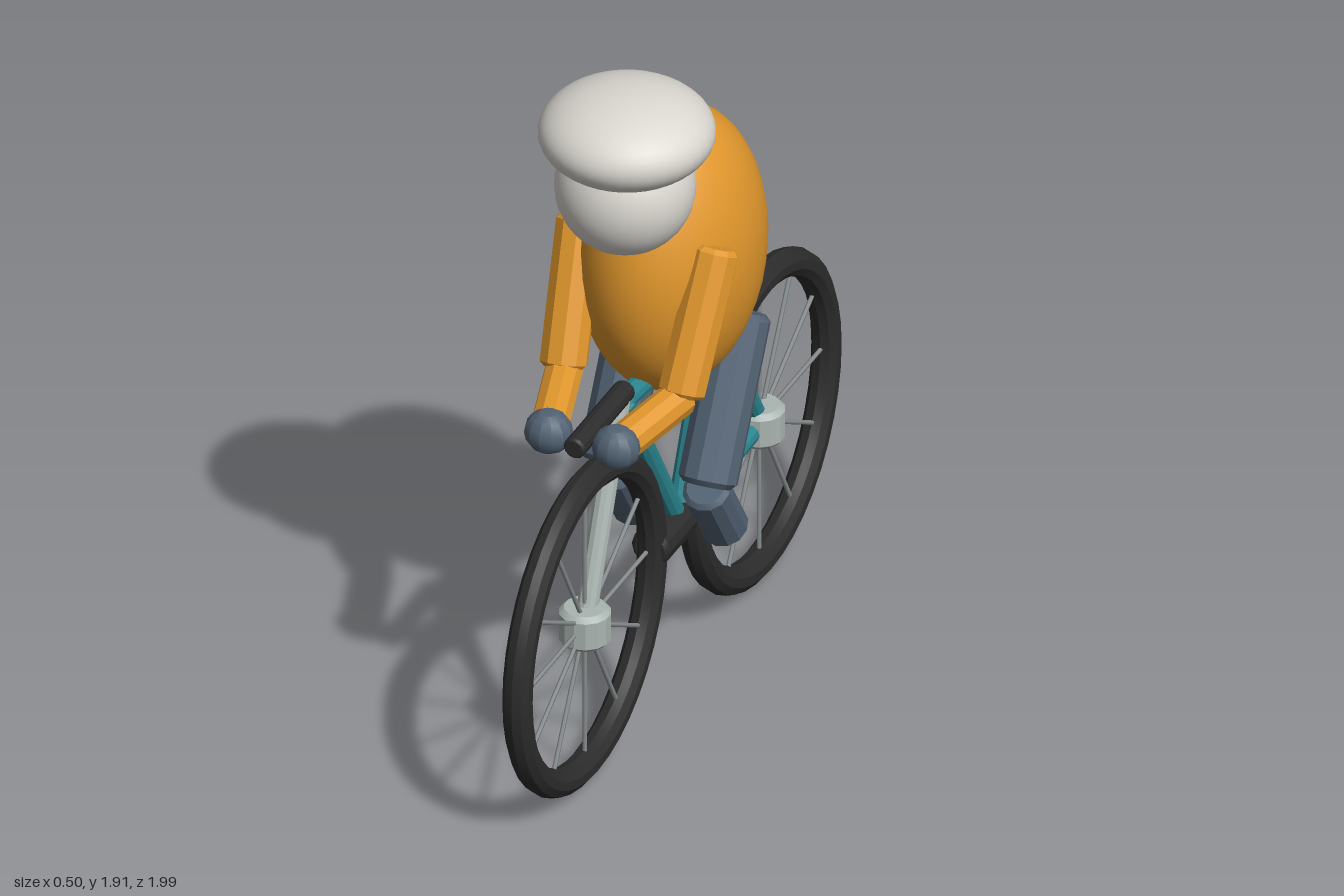
import * as THREE from 'three';
import { toCreasedNormals } from 'three/addons/utils/BufferGeometryUtils.js';

const mat = (name, color) => {
  const m = new THREE.MeshStandardMaterial({ color });
  m.name = name;
  return m;
};

export function createModel() {
  const model = new THREE.Group();
  model.name = 'cyclist';
  const orange = mat('orange jersey', 0xe0962c);
  const slate = mat('slate trousers', 0x526273);
  const teal = mat('teal frame', 0x2b858f);
  const black = mat('black rubber', 0x2c2c2d);
  const silver = mat('silver metal', 0xaab5b1);
  const steel = mat('steel spokes', 0x8b9192);
  const white = mat('off white', 0xdad7d0);

  const add = (name, geometry, material, parent = model) => {
    const mesh = new THREE.Mesh(geometry, material);
    mesh.name = name;
    parent.add(mesh);
    return mesh;
  };

  // Bevelled rod between two points
  const rod = (name, from, to, r, material, sides = 12, parent = model) => {
    const a = new THREE.Vector3(...from), b = new THREE.Vector3(...to);
    const h = a.distanceTo(b) / 2, c = Math.min(r * 0.2, h * 0.3);
    const profile = [[0, -h], [r - c, -h], [r, c - h], [r, h - c], [r - c, h], [0, h]]
      .map(([x, y]) => new THREE.Vector2(x, y));
    const geo = toCreasedNormals(new THREE.LatheGeometry(profile, sides), 0.4);
    const mesh = add(name, geo, material, parent);
    mesh.position.copy(a).add(b).multiplyScalar(0.5);
    mesh.quaternion.setFromUnitVectors(new THREE.Vector3(0, 1, 0), b.sub(a).normalize());
    return mesh;
  };

  const ellipsoid = (name, center, radii, material) => {
    const mesh = add(name, new THREE.SphereGeometry(1, 32, 20), material);
    mesh.position.set(...center);
    mesh.scale.set(...radii);
    return mesh;
  };

  // Wheels with tyre, spokes and hub
  for (const [name, z] of [['frontWheel', 0.54], ['rearWheel', -0.54]]) {
    const wheel = new THREE.Group();
    wheel.name = name;
    wheel.position.set(0, 0.463, z);
    model.add(wheel);
    const tyre = toCreasedNormals(new THREE.TorusGeometry(0.418, 0.039, 10, 40), 0.5);
    add('tyre', tyre.rotateY(Math.PI / 2), black, wheel);
    rod('hub', [0, -0.052, 0], [0, 0.052, 0], 0.068, silver, 14, wheel);
    for (let i = 0; i < 12; i++) {
      const a = i * Math.PI / 6;
      const spoke = new THREE.CylinderGeometry(0.006, 0.006, 0.4, 6);
      spoke.translate(0, 0.2, 0).rotateX(a);
      add('spoke', spoke, steel, wheel);
    }
  }

  // Bicycle frame
  const head = [0, 1.0, 0.31], seat = [0, 0.94, -0.24];
  const bracket = [0, 0.45, -0.03], axle = [0, 0.463, -0.54];
  rod('topTube', head, seat, 0.03, teal);
  rod('downTube', head, bracket, 0.032, teal);
  rod('seatTube', seat, bracket, 0.03, teal);
  rod('chainStay', bracket, axle, 0.029, teal);
  rod('seatStay', seat, axle, 0.027, teal);
  rod('fork', [0, 1.02, 0.32], [0, 0.463, 0.54], 0.028, silver);
  rod('seatPost', [0, 0.925, -0.235], [0, 1.06, -0.235], 0.033, silver);
  rod('saddle', [0, 1.07, -0.1], [0, 1.07, -0.39], 0.064, black);
  rod('handlebar', [0, 1.025, 0.29], [0, 1.025, 0.61], 0.03, black);
  rod('crank', [0, 0.46, -0.06], [0, 0.46, 0.14], 0.054, black);

  // Rider's body and head
  ellipsoid('torso', [0, 1.295, 0], [0.23, 0.395, 0.313], orange);
  ellipsoid('head', [0, 1.64, 0.29], [0.182, 0.183, 0.182], white);

  // Helmet: flattened dome with a flat underside
  const rim = [new THREE.Vector2(0, -0.075)];
  for (let i = 0; i <= 16; i++) {
    const t = THREE.MathUtils.lerp(-0.675, Math.PI / 2, i / 16);
    rim.push(new THREE.Vector2(Math.max(0, 0.228 * Math.cos(t)), 0.12 * Math.sin(t)));
  }
  add('helmet', toCreasedNormals(new THREE.LatheGeometry(rim, 36), 0.6), white)
    .position.set(0, 1.793, 0.28);

  // Arms and legs, mirrored
  for (const s of [1, -1]) {
    const side = s > 0 ? 'left' : 'right';
    rod(side + 'UpperArm', [s * 0.19, 1.42, 0.145], [s * 0.165, 1.06, 0.31], 0.063, orange, 10);
    rod(side + 'Forearm', [s * 0.165, 1.055, 0.3], [s * 0.1, 1.025, 0.54], 0.05, orange, 10);
    const hand = ellipsoid(side + 'Hand', [s * 0.095, 1.025, 0.555], [0.064, 0.06, 0.06], slate);
    hand.geometry = toCreasedNormals(new THREE.SphereGeometry(1, 12, 8), 0.4);
    rod(side + 'Thigh', [s * 0.138, 1.06, -0.13], [s * 0.138, 0.66, 0.09], 0.078, slate, 12);
    rod(side + 'Shin', [s * 0.125, 0.64, 0.07], [s * 0.125, 0.45, -0.055], 0.063, slate, 12);
  }
  return model;
}
